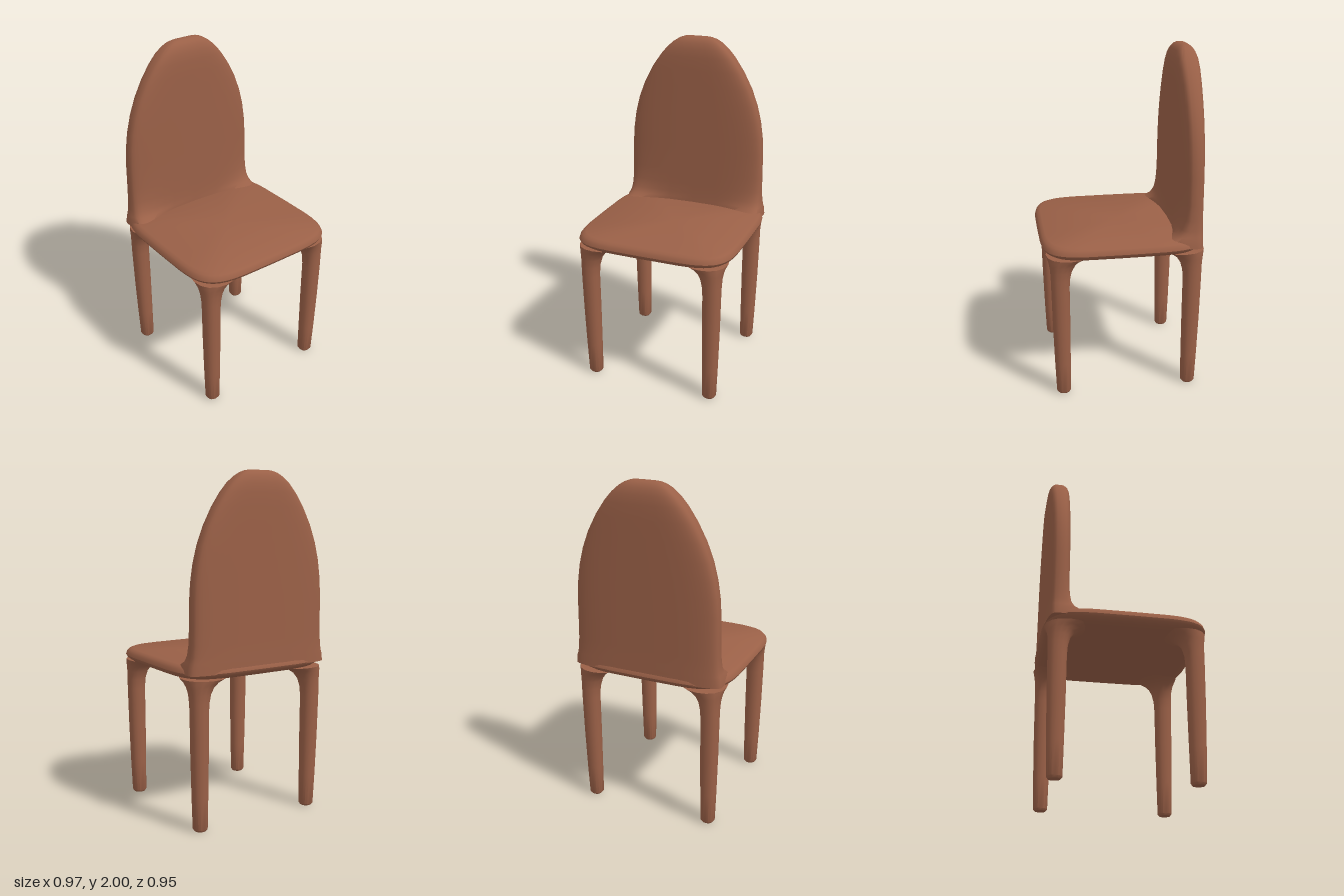
import * as THREE from 'three';
import { toCreasedNormals } from 'three/addons/utils/BufferGeometryUtils.js';

const spow = (v, p) => Math.sign(v) * Math.pow(Math.abs(v), p);

// Skins closed rings stacked upwards, capping both ends.
// ring: { y, x, z, w, d, n, flare } = centre, half sizes, superellipse power, front corner flare
function loft(rings, sides) {
  const pos = [], index = [];
  for (const { y, x = 0, z = 0, w, d, n = 2, flare = 0 } of rings) {
    for (let i = 0; i < sides; i++) {
      const t = (i / sides) * Math.PI * 2;
      const u = spow(Math.cos(t), 2 / n), v = spow(Math.sin(t), 2 / n);
      pos.push(x + w * u, y, z + d * v + flare * Math.abs(u) ** 3 * Math.max(0, v));
    }
  }
  for (let r = 0; r < rings.length - 1; r++) {
    for (let i = 0; i < sides; i++) {
      const a = r * sides + i, b = r * sides + (i + 1) % sides;
      index.push(a, a + sides, b, b, a + sides, b + sides);
    }
  }
  const last = rings.length - 1;
  for (const r of [0, last]) {
    const c = pos.length / 3, { x = 0, y, z = 0 } = rings[r];
    pos.push(x, y, z);
    for (let i = 0; i < sides; i++) {
      const a = r * sides + i, b = r * sides + (i + 1) % sides;
      if (r === 0) index.push(c, a, b);
      else index.push(c, b, a);
    }
  }
  const geo = new THREE.BufferGeometry();
  geo.setAttribute('position', new THREE.Float32BufferAttribute(pos, 3));
  geo.setIndex(index);
  return toCreasedNormals(geo, 0.7);
}

export function createModel() {
  const group = new THREE.Group();
  const wood = new THREE.MeshStandardMaterial({ color: 0x9a6047 });
  wood.name = 'warm brown';
  const add = (name, geo) => {
    const mesh = new THREE.Mesh(geo, wood);
    mesh.name = name;
    group.add(mesh);
  };

  // Cushioned seat: rounded square with a soft rim [height, scale]
  const seat = [
    [0.86, 0.8], [0.864, 0.88], [0.875, 0.945], [0.89, 0.985], [0.905, 1],
    [0.922, 0.99], [0.936, 0.967], [0.945, 0.93],
  ];
  add('seat', loft(seat.map(([y, s]) => ({ y, w: 0.487 * s, d: 0.475 * s, n: 5 })), 48));

  // Arched backrest, flared forward at its lower corners [height, half width, half depth, flare]
  const back = [
    [0.9, 0.46, 0.072, 0.15], [0.945, 0.455, 0.071, 0.14], [0.965, 0.448, 0.071, 0.075],
    [1.0, 0.442, 0.07, 0.035], [1.06, 0.438, 0.07, 0.012], [1.15, 0.436, 0.07, 0],
    [1.3, 0.434, 0.07, 0], [1.4, 0.427, 0.07, 0], [1.5, 0.412, 0.07, 0],
    [1.6, 0.386, 0.07, 0], [1.7, 0.347, 0.07, 0], [1.8, 0.293, 0.07, 0],
    [1.88, 0.237, 0.069, 0], [1.93, 0.193, 0.064, 0], [1.965, 0.152, 0.053, 0],
    [1.985, 0.12, 0.04, 0], [1.996, 0.09, 0.025, 0], [2.0, 0.065, 0.012, 0],
  ];
  add('backrest', loft(back.map(([y, w, d, flare]) => ({ y, z: -0.396, w, d, n: 3.6, flare })), 40));

  // Legs: tapered posts that sweep inward under the seat [height, inner edge, outer edge]
  const leg = [
    [0, 0.345, 0.411], [0.012, 0.336, 0.42], [0.2, 0.334, 0.427], [0.45, 0.332, 0.434],
    [0.68, 0.332, 0.438], [0.74, 0.328, 0.439], [0.79, 0.315, 0.441], [0.825, 0.293, 0.446],
    [0.85, 0.258, 0.452], [0.87, 0.2, 0.46],
  ];
  for (const [sx, side] of [[1, 'left'], [-1, 'right']]) {
    for (const [sz, end] of [[1, 'front'], [-1, 'back']]) {
      const shift = sz > 0 ? -0.009 : 0.011;
      add(`${end} ${side} leg`, loft(leg.map(([y, a, b]) => ({
        y, x: sx * (a + b) / 2, z: sz * ((a + b) / 2 + shift),
        w: (b - a) / 2, d: (b - a) / 2, n: 2.2,
      })), 16));
    }
  }
  return group;
}
